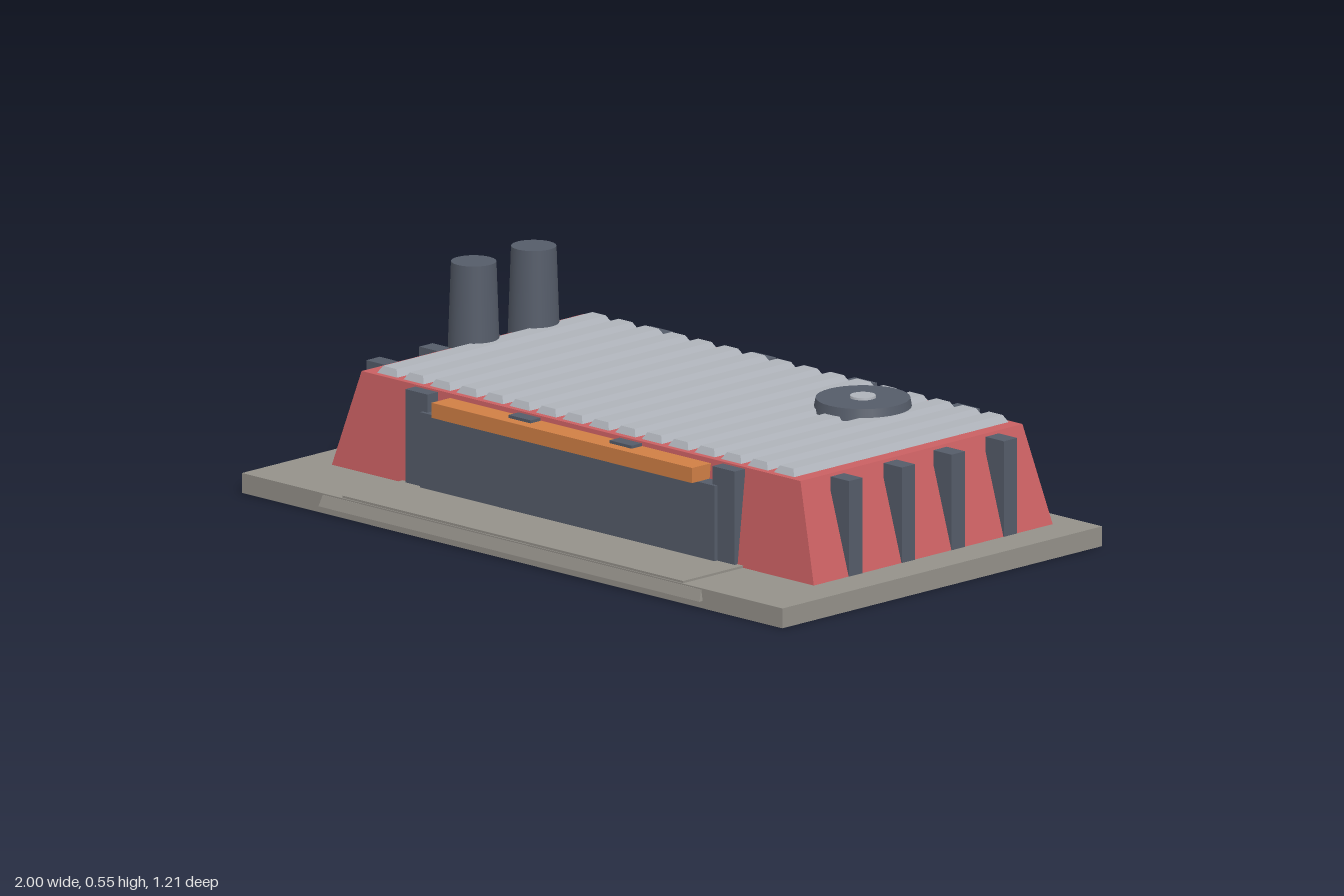
import * as THREE from 'three';

const material = (name, color) => {
  const m = new THREE.MeshStandardMaterial({ color });
  m.name = name;
  return m;
};

// Box standing on y0 whose top rectangle differs from its bottom one.
// Rectangles are [x0, x1, z0, z1].
function taperedBox(bottom, top, y0, y1) {
  const geo = new THREE.BoxGeometry(1, 1, 1);
  const p = geo.attributes.position;
  for (let i = 0; i < p.count; i++) {
    const up = p.getY(i) > 0;
    const r = up ? top : bottom;
    p.setXYZ(i, p.getX(i) > 0 ? r[1] : r[0], up ? y1 : y0, p.getZ(i) > 0 ? r[3] : r[2]);
  }
  const flat = geo.toNonIndexed();
  flat.computeVertexNormals();
  return flat;
}

export function createModel() {
  const model = new THREE.Group();
  model.name = 'building';

  const concrete = material('concrete', 0x94918a);
  const red = material('redWall', 0xca6062);
  const dark = material('darkSteel', 0x555c69);
  const light = material('lightSteel', 0xafb3ba);
  const orange = material('orangeTrim', 0xd07f45);

  const add = (name, geo, mat, x = 0, y = 0, z = 0, parent = model) => {
    const mesh = new THREE.Mesh(geo, mat);
    mesh.name = name;
    mesh.position.set(x, y, z);
    parent.add(mesh);
    return mesh;
  };
  const box = (name, mat, x0, x1, y0, y1, z0, z1, parent) =>
    add(name, new THREE.BoxGeometry(x1 - x0, y1 - y0, z1 - z0), mat,
      (x0 + x1) / 2, (y0 + y1) / 2, (z0 + z1) / 2, parent);
  const group = (name) => {
    const g = new THREE.Group();
    g.name = name;
    model.add(g);
    return g;
  };

  // Ground slab and the apron in front of the door
  box('slab', concrete, -1, 1, 0, 0.054, -0.605, 0.593);
  box('apron', concrete, -0.63, 0.63, 0.03, 0.06, 0.34, 0.59);
  add('apronLip', taperedBox([-0.705, 0.705, 0.58, 0.605], [-0.7, 0.7, 0.58, 0.594], 0.02, 0.05), concrete);

  // Sloping walls
  add('walls', taperedBox([-0.893, 0.893, -0.53, 0.366], [-0.812, 0.812, -0.497, 0.335], 0.05, 0.318), red);

  // Roof panels
  const roof = group('roofPanels');
  const panel = taperedBox([-0.04, 0.04, -0.488, 0.32], [-0.025, 0.025, -0.476, 0.308], 0.314, 0.337);
  for (let i = 0; i < 16; i++) add('roofPanel', panel, light, -0.734 + i * 0.0979, 0, 0, roof);

  // Upright posts along all four walls
  const posts = group('posts');
  for (const x of [-0.568, -0.187, 0.187, 0.568]) {
    box('frontPost', dark, x - 0.041, x + 0.041, 0.05, 0.314, 0.338, 0.376, posts);
    box('backPost', dark, x - 0.041, x + 0.041, 0.05, 0.314, -0.543, -0.505, posts);
  }
  for (const z of [-0.37, -0.175, 0.012, 0.21]) {
    for (const s of [-1, 1]) {
      const post = box('sidePost', dark, 0.825, 0.893, 0.05, 0.314, z - 0.025, z + 0.025, posts);
      post.position.x *= s;
    }
  }

  // Door with its trim
  box('door', dark, -0.545, 0.545, 0.05, 0.265, 0.34, 0.386);
  box('doorTrim', orange, -0.482, 0.482, 0.265, 0.306, 0.335, 0.407);

  // Chimneys
  const chimney = new THREE.CylinderGeometry(0.06, 0.069, 0.25, 24);
  for (const z of [-0.295, -0.07]) add('chimney', chimney, dark, -0.797, 0.42, z);

  // Roof fan
  add('fan', new THREE.CylinderGeometry(0.125, 0.131, 0.033, 32), dark, 0.43, 0.3435, -0.286);
  add('fanHub', new THREE.CylinderGeometry(0.034, 0.036, 0.012, 20), light, 0.43, 0.36, -0.286);

  return model;
}
